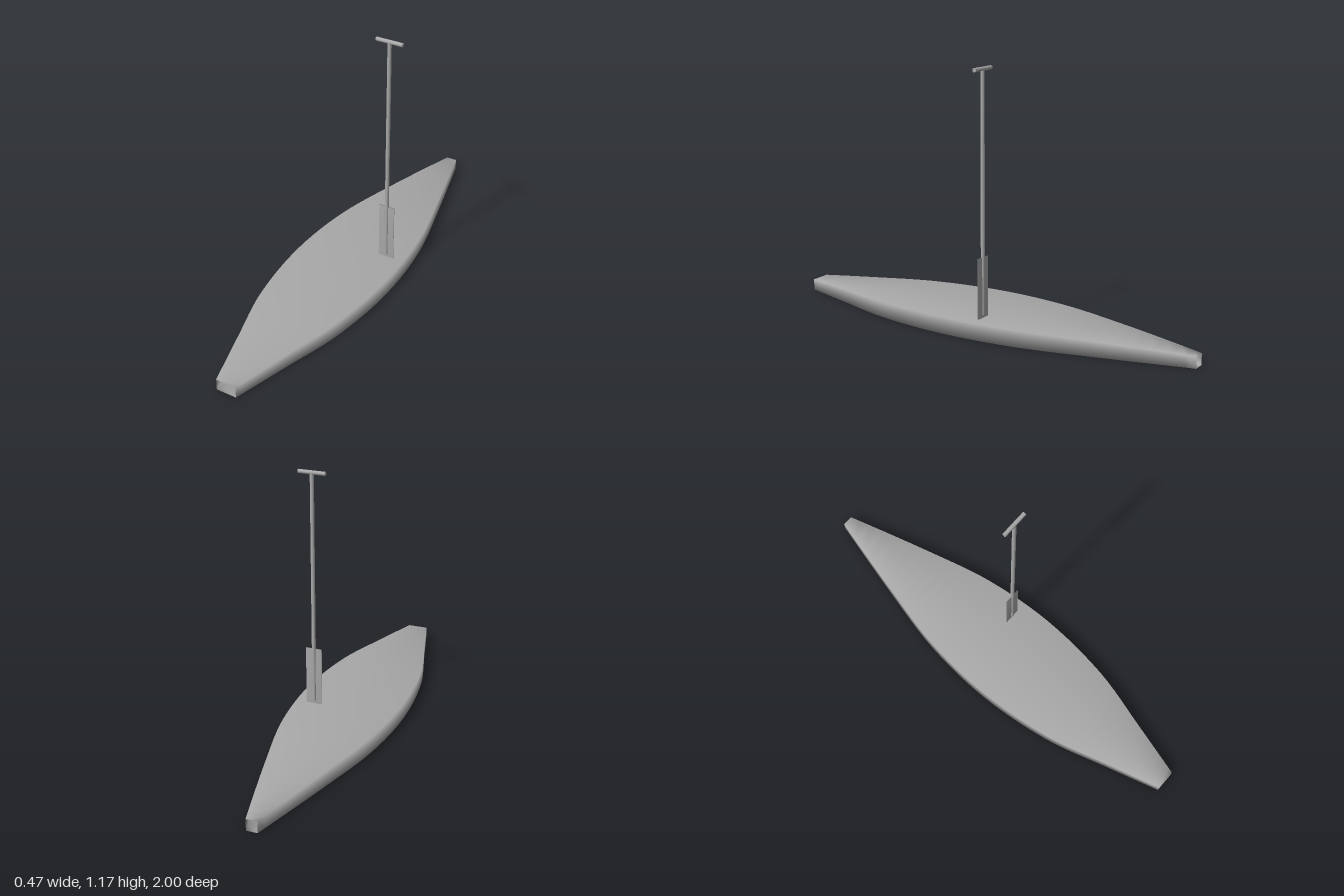
import * as THREE from 'three';
import { mergeVertices } from 'three/addons/utils/BufferGeometryUtils.js';

const grey = new THREE.MeshStandardMaterial({ color: 0xa8a8a8, side: THREE.DoubleSide });
grey.name = 'plain grey';

function add(parent, name, geometry, x = 0, y = 0, z = 0) {
  const mesh = new THREE.Mesh(geometry, grey);
  mesh.name = name;
  mesh.position.set(x, y, z);
  parent.add(mesh);
  return mesh;
}

// Share corners so the shading runs softly around the edges
function soften(geometry) {
  geometry.deleteAttribute('normal');
  geometry.deleteAttribute('uv');
  const merged = mergeVertices(geometry);
  merged.computeVertexNormals();
  return merged;
}

// Hollow board: four-cornered sections along z, open at both ends
function boardGeometry() {
  const outline = new THREE.SplineCurve([
    [-1, 0.025], [-0.6, 0.13], [-0.25, 0.21], [0.1, 0.235],
    [0.45, 0.2], [0.75, 0.118], [1, 0.047],
  ].map(([z, w]) => new THREE.Vector2(z, w)));
  const steps = 36, positions = [], index = [];
  for (let i = 0; i <= steps; i++) {
    const { x: z, y: w } = outline.getPoint(i / steps);
    const h = 0.076 - 0.024 * z * z;
    positions.push(w, 0, z, w, h, z, -w, h, z, -w, 0, z);
    if (i === steps) continue;
    for (let j = 0; j < 4; j++) {
      const a = i * 4 + j, b = i * 4 + (j + 1) % 4;
      index.push(a, b, b + 4, a, b + 4, a + 4);
    }
  }
  const geometry = new THREE.BufferGeometry();
  geometry.setAttribute('position', new THREE.Float32BufferAttribute(positions, 3));
  geometry.setIndex(index);
  geometry.computeVertexNormals();
  return geometry;
}

export function createModel() {
  const model = new THREE.Group();
  model.name = 'paddleBoard';
  add(model, 'board', boardGeometry());

  // Paddle standing upright on the deck
  const paddle = new THREE.Group();
  paddle.name = 'paddle';
  paddle.position.set(0.1425, 0, -0.05);
  model.add(paddle);
  add(paddle, 'shaft', new THREE.CylinderGeometry(0.009, 0.009, 1.065, 16), 0, 0.6225, 0);
  const handle = add(paddle, 'handle', new THREE.CylinderGeometry(0.009, 0.009, 0.125, 16), 0, 1.157, 0);
  handle.rotation.z = Math.PI / 2;
  add(paddle, 'blade', soften(new THREE.BoxGeometry(0.074, 0.27, 0.005)), 0, 0.211, 0);
  return model;
}
